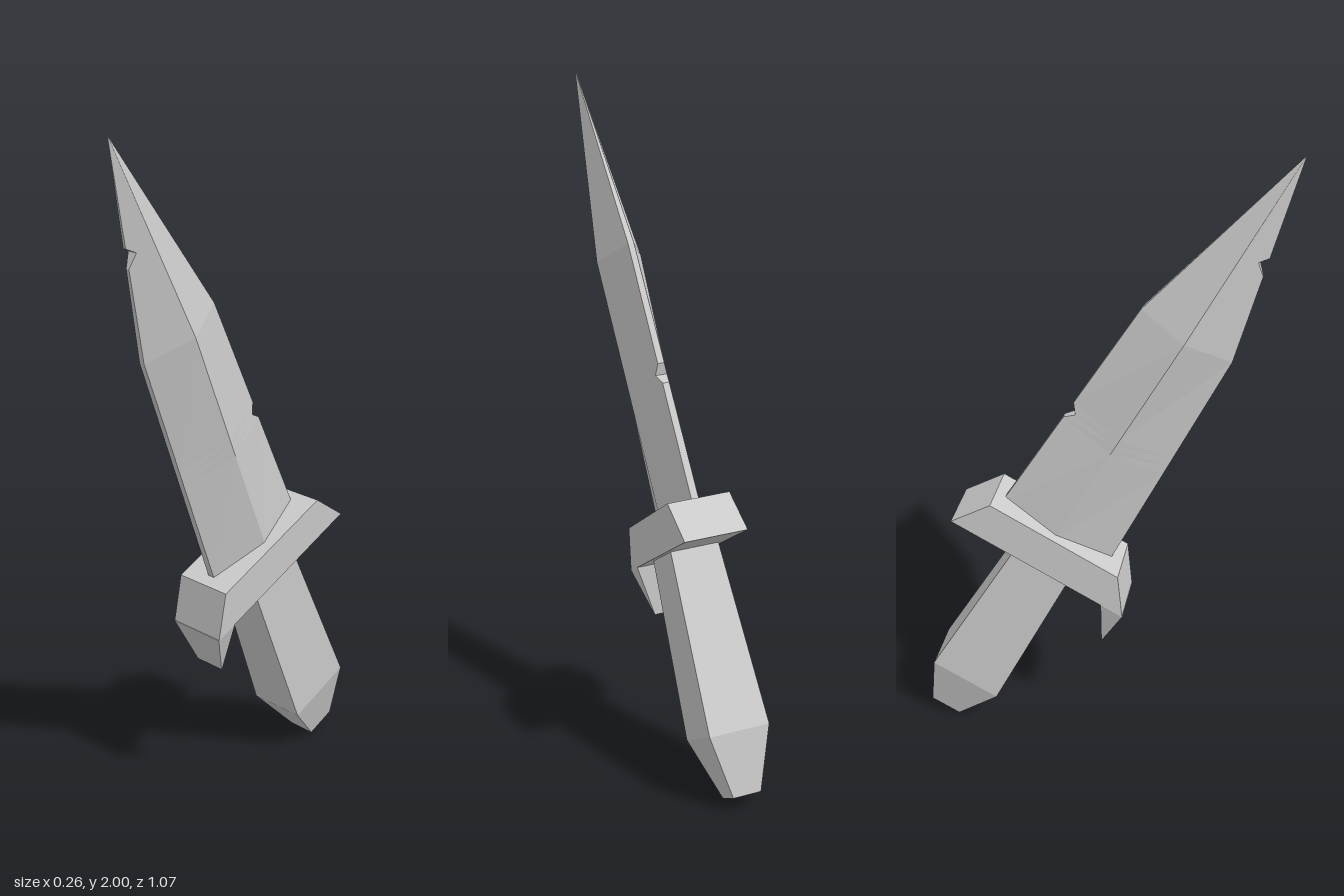
import * as THREE from 'three';

const material = new THREE.MeshStandardMaterial({ color: 0xcccccc, flatShading: true, side: THREE.DoubleSide });

// Skins a stack of rings; each ring is a list of [x, y, z], counter-clockwise seen from +y
function loft(name, rings) {
  const n = rings[0].length;
  const index = [];
  for (let r = 0; r < rings.length - 1; r++) {
    for (let i = 0; i < n; i++) {
      const a = r * n + i, b = r * n + (i + 1) % n;
      index.push(a, b, b + n, a, b + n, a + n);
    }
  }
  const top = (rings.length - 1) * n;
  for (let i = 1; i < n - 1; i++) {
    index.push(0, i + 1, i, top, top + i, top + i + 1);
  }
  const geometry = new THREE.BufferGeometry();
  geometry.setAttribute('position', new THREE.Float32BufferAttribute(rings.flat(2), 3));
  geometry.setIndex(index);
  const flat = geometry.toNonIndexed();
  flat.computeVertexNormals();
  const mesh = new THREE.Mesh(flat, material);
  mesh.name = name;
  return mesh;
}

// Rectangular ring at height y, from back to front in z, with half thickness h
const rect = (y, back, front, h) => [[h, y, front], [h, y, back], [-h, y, back], [-h, y, front]];

// Blade: six-sided section with a central ridge and two blunt edges
const BASE = 0.6, SHOULDER = 1.4, TIP = 2.015, AXIS = -0.461;
function along(y, atBase, atShoulder) {
  return y < SHOULDER
    ? THREE.MathUtils.mapLinear(y, BASE, SHOULDER, atBase, atShoulder)
    : THREE.MathUtils.mapLinear(y, SHOULDER, TIP, atShoulder, 0.0005);
}
function bladeRing(y, frontCut = 0, backCut = 0) {
  const half = along(y, 0.188, 0.148);
  const ridge = along(y, 0.058, 0.07);
  const edge = along(y, 0.011, 0.009);
  // A nick moves the edge inward, where the blade is thicker
  const thick = (cut) => edge + (ridge - edge) * cut / half;
  const f = thick(frontCut), b = thick(backCut);
  const front = AXIS + half - frontCut, back = AXIS - half + backCut;
  return [[f, y, front], [ridge, y, AXIS], [b, y, back], [-b, y, back], [-ridge, y, AXIS], [-f, y, front]];
}

export function createModel() {
  const dagger = new THREE.Group();
  dagger.name = 'dagger';

  dagger.add(loft('blade', [
    bladeRing(BASE),
    bladeRing(0.97), bladeRing(1.0, 0, 0.024), bladeRing(1.029), // nick in the back edge
    bladeRing(SHOULDER),
    bladeRing(1.667), bladeRing(1.699, 0.026, 0), bladeRing(1.722), // nick in the front edge
    bladeRing(TIP),
  ]));

  // Crossguard with bevelled ends
  dagger.add(loft('guard', [rect(0.5, -0.756, -0.154, 0.093), rect(0.622, -0.681, -0.237, 0.093)]));

  // Downturned hook on the front end of the guard
  dagger.add(loft('guardHook', [rect(0.353, -0.156, -0.153, 0.05), rect(0.502, -0.231, -0.154, 0.093)]));

  // Grip flaring to a tapered pommel
  dagger.add(loft('handle', [
    rect(-0.211, -0.497, -0.396, 0.042),
    rect(-0.03, -0.563, -0.332, 0.09),
    rect(0.51, -0.543, -0.352, 0.073),
  ]));

  // Lean the whole dagger forward and slightly sideways
  const up = new THREE.Vector3(0.065, 0.883, 0.466).normalize();
  const side = up.clone().cross(new THREE.Vector3(-0.05, -0.468, 0.883)).normalize();
  const forward = side.clone().cross(up);
  dagger.quaternion.setFromRotationMatrix(new THREE.Matrix4().makeBasis(side, up, forward));
  dagger.position.copy(side).multiplyScalar(-0.066);

  const model = new THREE.Group();
  model.add(dagger);
  return model;
}
